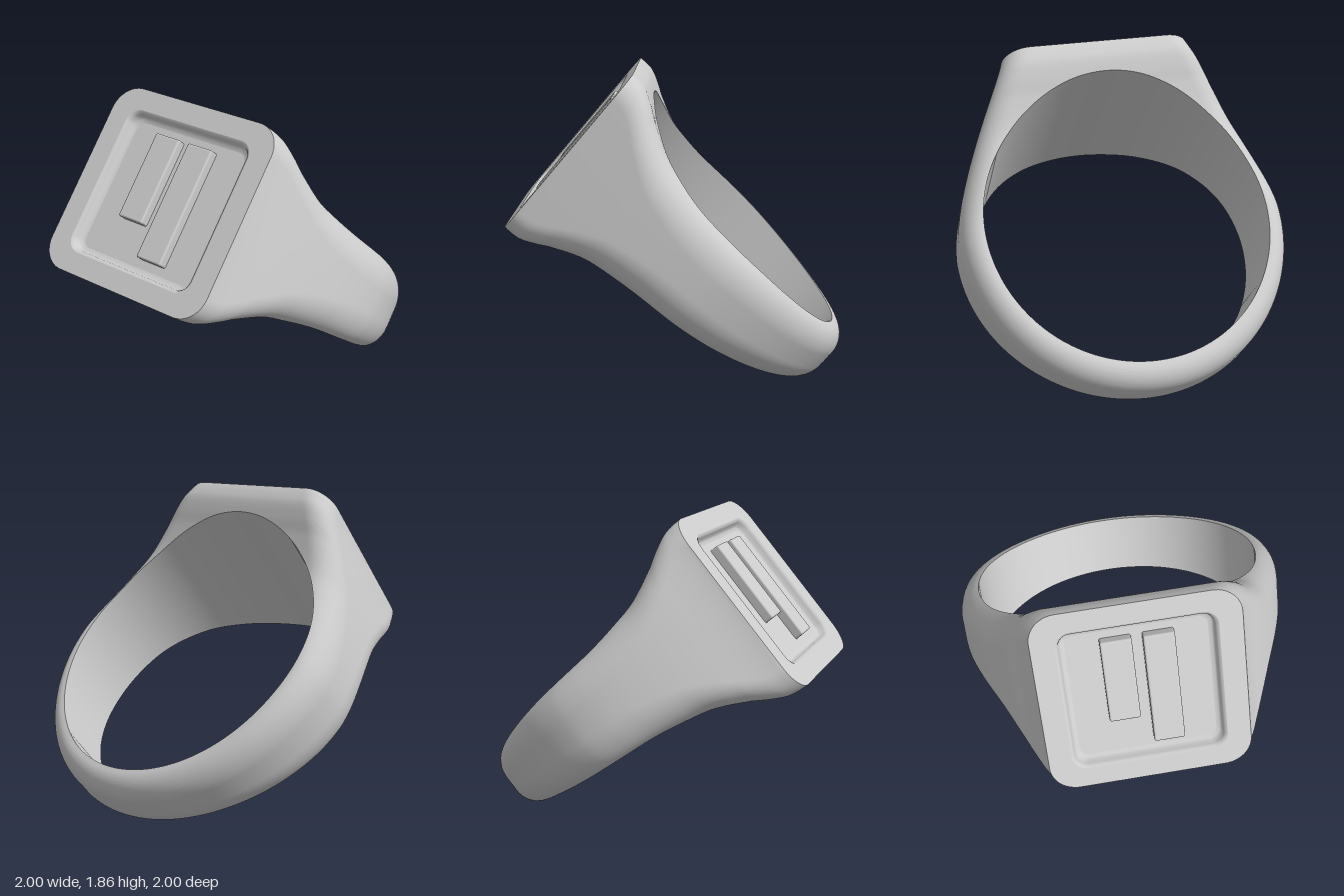
import * as THREE from 'three';
import { toCreasedNormals } from 'three/addons/utils/BufferGeometryUtils.js';
import { RoundedBoxGeometry } from 'three/addons/geometries/RoundedBoxGeometry.js';

// Local frame: x across, y along the face normal, z along the finger axis.
const MID = 0.345;    // height of the bore axis
const BORE = 0.865;   // bore radius
const TOP = 1.39;     // height of the face
const FACE = 0.59;    // half width of the face

// Smooth interpolation through [input, value] pairs
function smooth(table) {
  const n = table.length;
  const slope = table.map((_, i) => {
    const a = table[Math.max(i - 1, 0)], b = table[Math.min(i + 1, n - 1)];
    return (b[1] - a[1]) / (b[0] - a[0]);
  });
  return (v) => {
    v = Math.min(Math.max(v, table[0][0]), table[n - 1][0]);
    let i = 0;
    while (i < n - 2 && v > table[i + 1][0]) i++;
    const [x0, y0] = table[i], [x1, y1] = table[i + 1];
    const h = x1 - x0, t = (v - x0) / h, s = t * t * (3 - 2 * t);
    return y0 + (y1 - y0) * s + h * t * (1 - t) * ((1 - t) * slope[i] - t * slope[i + 1]);
  };
}

// Half depth along the finger, shoulder half width, and edge rounding, by height
const halfDepth = smooth([[-0.65, 0.18], [-0.4, 0.2], [0.12, 0.255], [0.55, 0.292], [0.8, 0.335],
  [0.95, 0.375], [1.12, 0.465], [1.2, 0.52], [1.28, 0.565], [1.34, 0.578], [1.39, 0.58]]);
const shoulder = smooth([[0.2, 0.99], [MID, 1], [0.5, 0.978], [0.65, 0.935], [0.8, 0.878],
  [0.95, 0.812], [1.1, 0.737], [1.25, 0.655], [1.33, 0.615], [TOP, FACE]]);
const roundX = smooth([[-0.65, 0.11], [MID, 0.13], [0.8, 0.18], [TOP, 0.16]]);
const roundZ = smooth([[-0.65, 0.13], [MID, 0.2], [0.8, 0.21], [TOP, 0.16]]);

// Depth of the ring surface at a point of its front elevation
function depthAt(x, y) {
  const inset = y > MID ? shoulder(y) - Math.abs(x) : 1 - Math.hypot(x, y - MID);
  const k = Math.min(Math.max(1 - inset / roundX(y), 0), 1);
  return halfDepth(y) - roundZ(y) * (1 - Math.sqrt(1 - k * k));
}

// Surface through rows of points; optionally closing rows, columns or skipping quads
function loft(rows, keep = () => true) {
  const pos = [], n = rows.length, m = rows[0].length;
  const closeRows = loft.closeRows ? n : n - 1;
  for (let i = 0; i < closeRows; i++) {
    for (let j = 0; j < m; j++) {
      if (!keep(i, j)) continue;
      const a = rows[i], b = rows[(i + 1) % n], k = (j + 1) % m;
      pos.push(...a[j], ...a[k], ...b[j], ...a[k], ...b[k], ...b[j]);
    }
  }
  const g = new THREE.BufferGeometry();
  g.setAttribute('position', new THREE.Float32BufferAttribute(pos, 3));
  return toCreasedNormals(g, 0.7);
}

// Outline of the ring seen along the finger, clockwise from the top centre
function ringOutline() {
  const half = [];
  const flat = 24, side = 44, arc = 48;
  for (let i = 0; i <= flat; i++) half.push([FACE * Math.sin(i / flat * Math.PI / 2), TOP]);
  for (let i = 1; i <= side; i++) {
    const y = TOP + (MID - TOP) * i / side;
    half.push([shoulder(y), y]);
  }
  for (let i = 1; i <= arc; i++) {
    const a = i / arc * Math.PI / 2;
    half.push([Math.cos(a), MID - Math.sin(a)]);
  }
  const left = half.slice(1, -1).reverse().map(([x, y]) => [-x, y]);
  return half.concat(left);
}

function ringBody() {
  const outline = ringOutline(), steps = 28;
  const rows = outline.map(([ox, oy]) => {
    const len = Math.hypot(ox, oy - MID);
    const ix = ox / len * BORE, iy = MID + (oy - MID) / len * BORE;
    const front = [];
    for (let i = steps; i >= 0; i--) {
      const t = Math.sin(i / steps * Math.PI / 2);
      const x = ix + (ox - ix) * t, y = iy + (oy - iy) * t;
      front.push([x, y, depthAt(x, y)]);
    }
    return front.concat(front.slice().reverse().map(([x, y, z]) => [x, y, -z]));
  });
  rows.push(rows[0]);
  // the flat top stays open for the face plate
  const last = rows[0].length - 1;
  const onTop = (i) => rows[i][0][1] > TOP - 1e-6 && rows[i + 1][0][1] > TOP - 1e-6;
  return loft(rows, (i, j) => j < last || !onTop(i));
}

// Counter-clockwise rounded square
function roundedSquare(half, r) {
  const pts = [];
  for (let c = 0; c < 4; c++) {
    const q = c * Math.PI / 2;
    const cx = (half - r) * (c === 0 || c === 3 ? 1 : -1), cy = (half - r) * (c < 2 ? 1 : -1);
    for (let i = 0; i <= 10; i++) {
      const a = q + i / 10 * Math.PI / 2;
      pts.push(new THREE.Vector2(cx + r * Math.cos(a), cy + r * Math.sin(a)));
    }
  }
  return pts;
}

export function createModel() {
  const mat = new THREE.MeshStandardMaterial({ color: 0xcccccc });
  const ring = new THREE.Group();
  ring.name = 'signetRing';
  const add = (name, geo) => {
    const mesh = new THREE.Mesh(geo, mat);
    mesh.name = name;
    ring.add(mesh);
    return mesh;
  };

  // Band, shoulders and bore in one surface
  add('ringBody', ringBody());

  // Flat rim of the face around the recess
  const topPts = ringOutline().filter(([, y]) => y > TOP - 1e-6).map(([x]) => x).sort((a, b) => a - b);
  const rim = topPts.map((x) => new THREE.Vector2(x, -depthAt(x, TOP)))
    .concat(topPts.slice().reverse().map((x) => new THREE.Vector2(x, depthAt(x, TOP))));
  const rimShape = new THREE.Shape(rim);
  rimShape.holes.push(new THREE.Path(roundedSquare(0.455, 0.09).reverse()));
  add('faceRim', new THREE.ShapeGeometry(rimShape).rotateX(-Math.PI / 2).translate(0, TOP, 0));

  // Recess wall with a soft lip and foot
  const steps = [[TOP, 0.455, 0.09], [1.384, 0.443, 0.08], [1.37, 0.436, 0.075],
    [1.345, 0.43, 0.07], [1.335, 0.42, 0.065], [1.33, 0.4, 0.05]];
  add('recessWall', loft(steps.map(([y, h, r]) => roundedSquare(h, r).map((p) => [p.x, y, -p.y]))));
  const floor = new THREE.Shape(roundedSquare(0.4, 0.05));
  add('recessFloor', new THREE.ShapeGeometry(floor).rotateX(-Math.PI / 2).translate(0, 1.33, 0));

  // Two raised bars of unequal length
  for (const [name, x, z0, z1] of [['shortBar', -0.12, -0.355, 0.168], ['longBar', 0.12, -0.355, 0.35]]) {
    add(name, new RoundedBoxGeometry(0.178, 0.09, z1 - z0, 3, 0.012))
      .position.set(x, 1.342, (z0 + z1) / 2);
  }

  // Tilt the face forward and up
  ring.rotation.x = 0.8655;
  ring.position.set(0, 0.511, -0.435);
  const model = new THREE.Group();
  model.name = 'ring';
  model.add(ring);
  return model;
}
